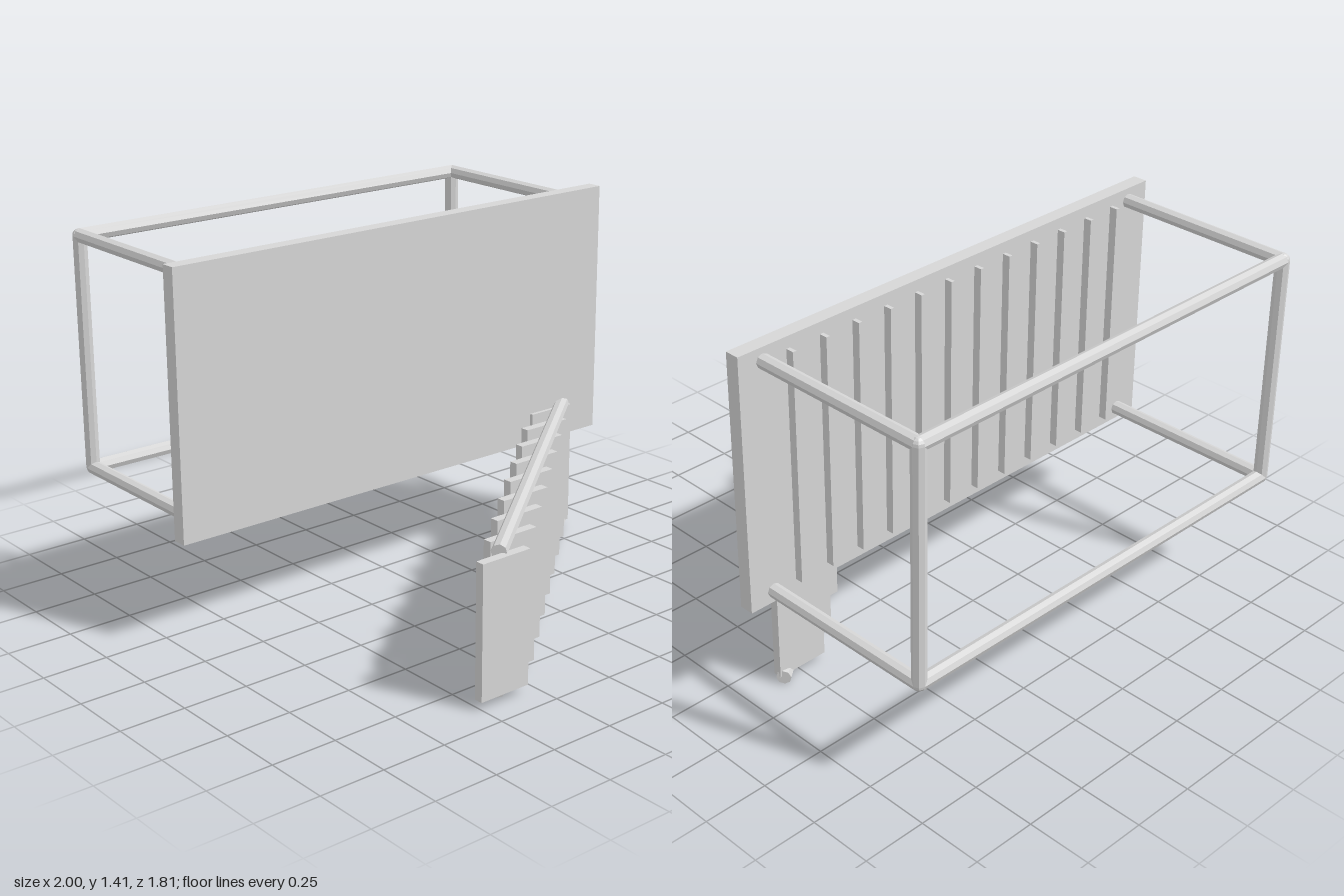
import * as THREE from 'three';

export function createModel() {
  const model = new THREE.Group();
  model.name = 'platformWithStairs';
  const metal = new THREE.MeshStandardMaterial({ color: 0xd6d6d6, flatShading: true });
  metal.name = 'light grey metal';

  const add = (parent, name, geometry, x, y, z) => {
    const mesh = new THREE.Mesh(geometry, metal);
    mesh.name = name;
    mesh.position.set(x, y, z);
    parent.add(mesh);
    return mesh;
  };
  const group = (name) => {
    const g = new THREE.Group();
    g.name = name;
    model.add(g);
    return g;
  };
  // Faceted bar between two points
  const bar = (parent, name, a, b, r) => {
    const from = new THREE.Vector3(...a), to = new THREE.Vector3(...b);
    const dir = to.clone().sub(from);
    const mid = from.clone().add(to).multiplyScalar(0.5);
    const mesh = add(parent, name, new THREE.CylinderGeometry(r, r, dir.length(), 8), mid.x, mid.y, mid.z);
    mesh.quaternion.setFromUnitVectors(new THREE.Vector3(0, 1, 0), dir.normalize());
  };

  // Deck panel
  add(model, 'deckPanel', new THREE.BoxGeometry(2, 1, 0.057), 0, 0.906, -0.134);

  // Thin ribs on the back of the panel
  const ribs = group('deckRibs');
  for (let i = 0; i < 12; i++) {
    add(ribs, 'rib', new THREE.BoxGeometry(0.015, 0.91, 0.034), -0.805 + i * 0.145, 0.906, -0.178);
  }

  // Tubular frame behind the panel
  const frame = group('tubeFrame');
  const R = 0.027, X = 0.898, Z = -0.882, LOW = 0.455, HIGH = 1.356;
  for (const y of [LOW, HIGH]) {
    bar(frame, 'longRail', [-X, y, Z], [X, y, Z], R);
    for (const x of [-X, X]) {
      bar(frame, 'leg', [x, y, -0.14], [x, y, Z], R);
      add(frame, 'cornerJoint', new THREE.SphereGeometry(R, 8, 8), x, y, Z);
    }
  }
  for (const x of [-X, X]) bar(frame, 'crossRail', [x, LOW, Z], [x, HIGH, Z], R);

  // Stairs: treads stepping across, held by two sloping stringers
  const stairs = group('stairs');
  for (let i = 0; i < 9; i++) {
    add(stairs, 'tread', new THREE.BoxGeometry(0.21, 0.5, 0.034), -0.4 + i * 0.144, 0.281, 0.888 - i * 0.1245);
  }
  for (const y of [0.028, 0.533]) {
    bar(stairs, 'stringer', [-0.4, y, 0.865], [0.847, y, -0.13], 0.028);
  }
  return model;
}
